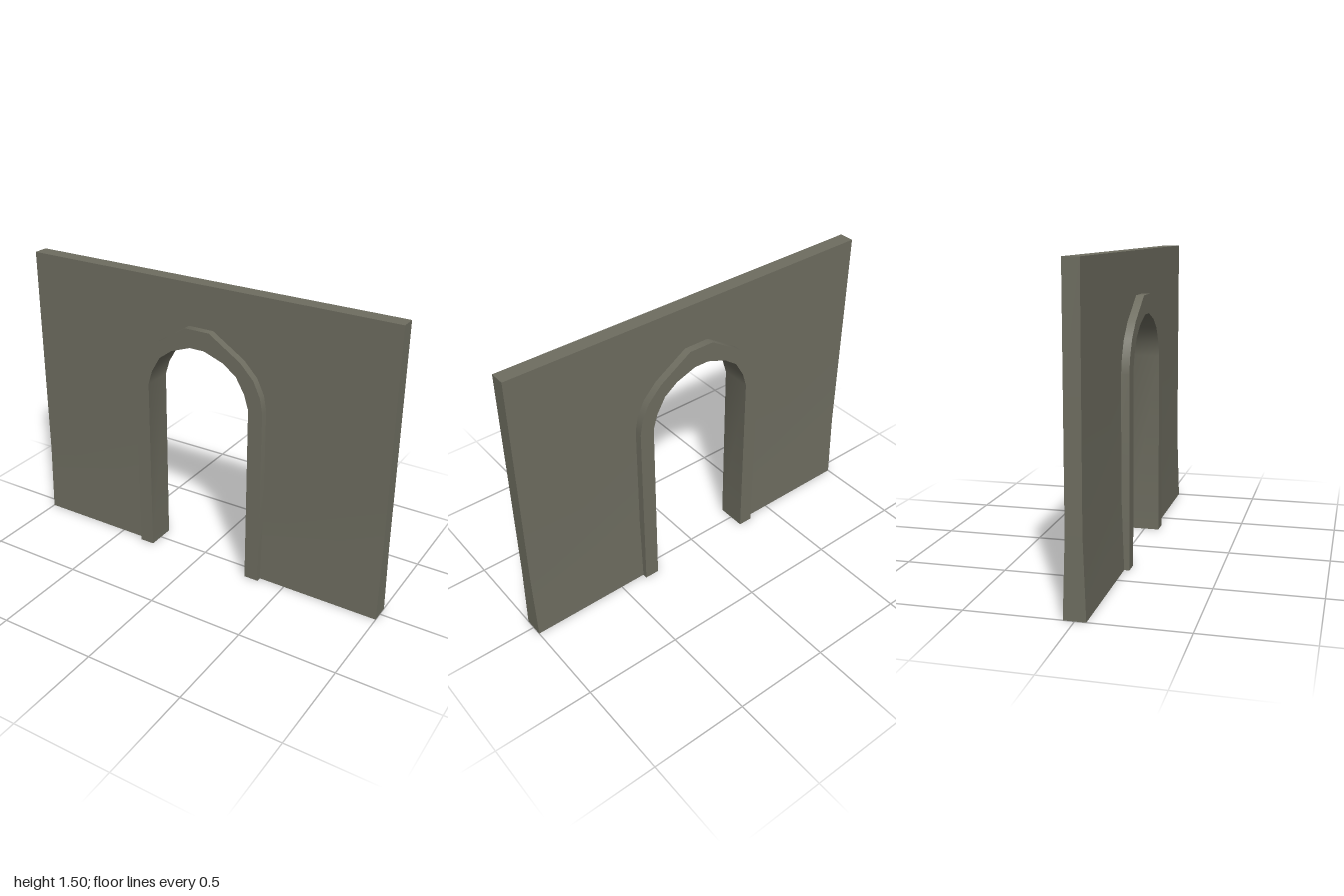
import * as THREE from 'three';
import { mergeGeometries, toCreasedNormals } from 'three/addons/utils/BufferGeometryUtils.js';

// Right half of each arch line, from the floor to the flat apex
const SPRING = 0.945;
const outer = [[0.362, 0], [0.362, SPRING], [0.348, 1.02], [0.31, 1.1], [0.238, 1.175], [0.067, 1.285]];
const inner = [[0.286, 0], [0.286, SPRING], [0.263, 1.02], [0.216, 1.1], [0.145, 1.152], [0.04, 1.19]];
// Hidden edge of the wall opening, buried inside the frame
const middle = outer.map(([x, y], i) => [(x + inner[i][0]) / 2, (y + inner[i][1]) / 2]);

// Full arch line running from right to left
const fullArch = (half) => [...half, ...half.map(([x, y]) => [-x, y]).reverse()];

function extrude(points, depth) {
  const shape = new THREE.Shape(points.map(([x, y]) => new THREE.Vector2(x, y)));
  return new THREE.ExtrudeGeometry(shape, { depth, bevelEnabled: false }).translate(0, 0, -depth / 2);
}

// Wall panel beside the opening, with a foot that thickens toward the floor
function pier(side, halfDepth) {
  const x0 = middle[0][0];
  const g = new THREE.BoxGeometry(1 - x0, SPRING, halfDepth * 2, 1, 2, 1);
  g.translate(side * (1 + x0) / 2, SPRING / 2, 0);
  const p = g.attributes.position;
  for (let i = 0; i < p.count; i++) {
    const y = p.getY(i);
    if (y < 0.01) p.setZ(i, Math.sign(p.getZ(i)) * 0.051);
    else if (y < SPRING - 0.01) p.setY(i, 0.37);
  }
  return g.toNonIndexed();
}

export function createModel() {
  const model = new THREE.Group();
  model.name = 'archedWall';
  const stone = new THREE.MeshStandardMaterial({ color: 0x6e6d60 });
  stone.name = 'grey olive stone';

  function add(name, geometry) {
    const mesh = new THREE.Mesh(toCreasedNormals(geometry, 0.6), stone);
    mesh.name = name;
    model.add(mesh);
  }

  // Wall: two piers and the panel over the arch
  const halfDepth = 0.038;
  const overArch = extrude(
    [[1, SPRING], [1, 1.5], [-1, 1.5], [-1, SPRING], ...fullArch(middle.slice(1)).reverse()],
    halfDepth * 2
  );
  add('wall', mergeGeometries([pier(1, halfDepth), pier(-1, halfDepth), overArch]));

  // Raised frame around the opening
  add('archFrame', extrude([...fullArch(outer), ...fullArch(inner).reverse()], 0.154));

  return model;
}
